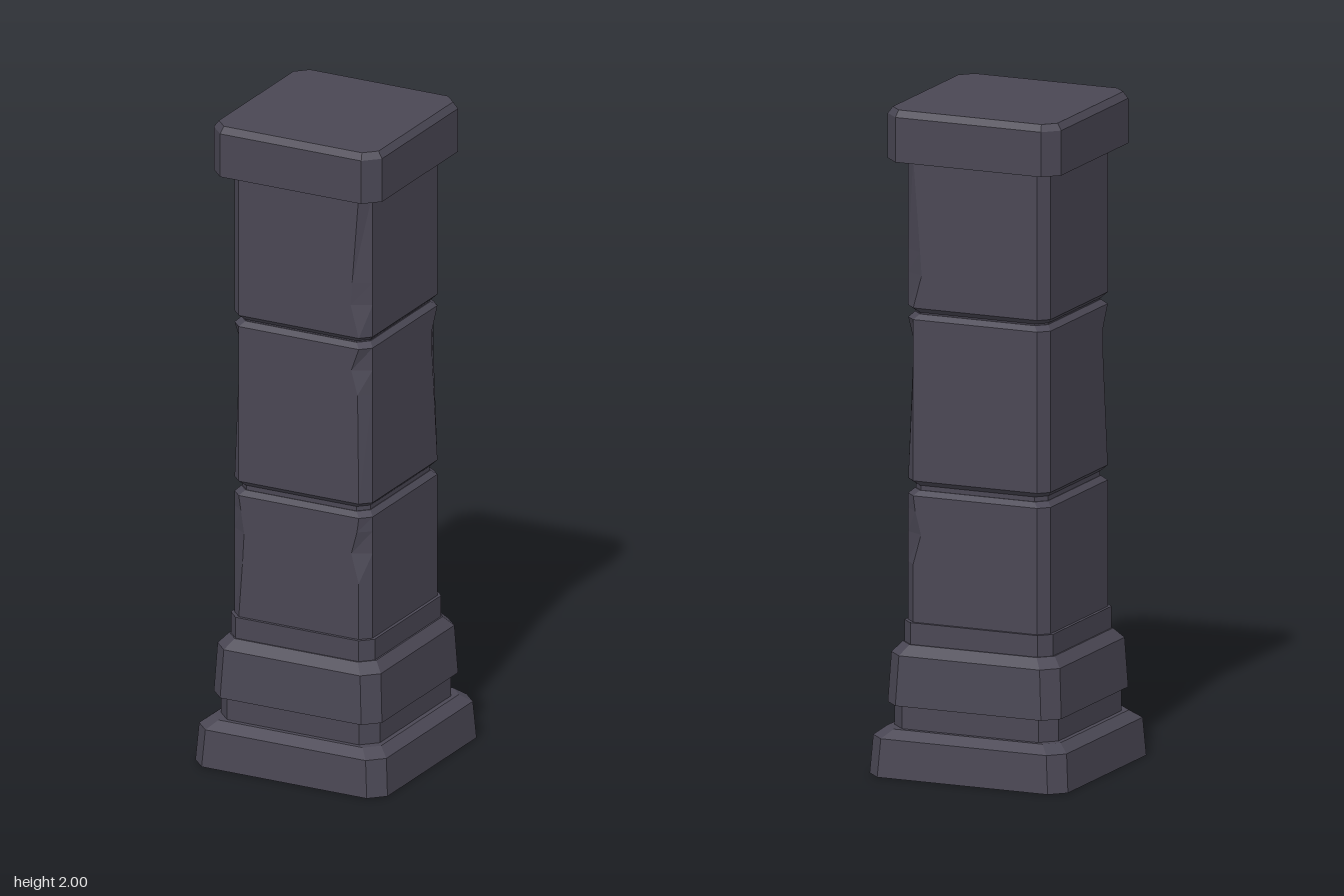
import * as THREE from 'three';

const material = new THREE.MeshStandardMaterial({ color: 0x4a4754, flatShading: true });

// Square section with cut corners, at height y. cuts[k] slides corner point k inward along its face.
// Points: 0,1 front  2,3 +x side  4,5 back  6,7 -x side
function ring(y, half, chamfer, cuts = {}) {
  const signs = [[-1, 1], [1, 1], [1, 1], [1, -1], [1, -1], [-1, -1], [-1, -1], [-1, 1]];
  return signs.map(([sx, sz], k) => {
    const inner = half - chamfer - (cuts[k] || 0);
    const alongX = k % 4 < 2;
    return [sx * (alongX ? inner : half), y, sz * (alongX ? half : inner)];
  });
}

// Skin a stack of rings and close both ends
function loft(name, rings) {
  const n = 8, index = [];
  for (let r = 0; r < rings.length - 1; r++) {
    for (let k = 0; k < n; k++) {
      const a = r * n + k, b = r * n + (k + 1) % n;
      index.push(a, b, b + n, a, b + n, a + n);
    }
  }
  const top = (rings.length - 1) * n;
  for (let k = 1; k < n - 1; k++) {
    index.push(0, k + 1, k);
    index.push(top, top + k, top + k + 1);
  }
  const geometry = new THREE.BufferGeometry();
  geometry.setAttribute('position', new THREE.Float32BufferAttribute(rings.flat(2), 3));
  geometry.setIndex(index);
  const flat = geometry.toNonIndexed();
  flat.computeVertexNormals();
  const mesh = new THREE.Mesh(flat, material);
  mesh.name = name;
  return mesh;
}

// Plain moulding from [y, half width, chamfer] rows
const moulding = (name, rows) => loft(name, rows.map((row) => ring(...row)));

// Shaft block: optional bevelled ends, with chipped corners at given heights
function shaftBlock(name, bottom, top, bevelBottom, bevelTop, chips) {
  const rings = [];
  if (bevelBottom) rings.push(ring(bottom - 0.015, 0.215, 0.03));
  rings.push(ring(bottom, 0.23, 0.03));
  for (const [y, cuts] of chips) rings.push(ring(y, 0.23, 0.03, cuts));
  rings.push(ring(top, 0.23, 0.03));
  if (bevelTop) rings.push(ring(top + 0.015, 0.215, 0.03));
  return loft(name, rings);
}

export function createModel() {
  const group = new THREE.Group();
  group.name = 'stonePillar';

  group.add(
    // Stepped foot
    moulding('plinth', [[0, 0.32, 0.045], [0.115, 0.312, 0.045], [0.14, 0.28, 0.04]]),
    moulding('plinthNeck', [[0.135, 0.265, 0.045], [0.215, 0.265, 0.045]]),
    moulding('baseBlock', [[0.21, 0.28, 0.045], [0.36, 0.272, 0.045], [0.39, 0.245, 0.04]]),
    moulding('collar', [[0.385, 0.24, 0.035], [0.455, 0.24, 0.035]]),

    // Shaft with worn corners
    moulding('shaftCore', [[0.8, 0.213, 0.03], [1.42, 0.213, 0.03]]),
    shaftBlock('lowerBlock', 0.45, 0.835, false, true, [
      [0.63, { 0: 0.013 }],
      [0.72, { 0: 0.018, 1: 0.025, 4: 0.025 }],
      [0.79, { 0: 0.007, 1: 0.006, 4: 0.006 }],
    ]),
    shaftBlock('middleBlock', 0.88, 1.365, true, true, [
      [1.22, { 1: 0.004, 3: 0.033, 7: 0.033 }],
      [1.295, { 1: 0.025, 3: 0.035, 7: 0.035 }],
    ]),
    shaftBlock('upperBlock', 1.4, 1.85, true, false, [
      [1.5, { 1: 0.027, 4: 0.027 }],
      [1.57, { 1: 0.022, 4: 0.022 }],
    ]),

    // Capital slab
    moulding('capital', [[1.845, 0.28, 0.045], [1.98, 0.28, 0.045], [2, 0.266, 0.036]]),
  );
  return group;
}
